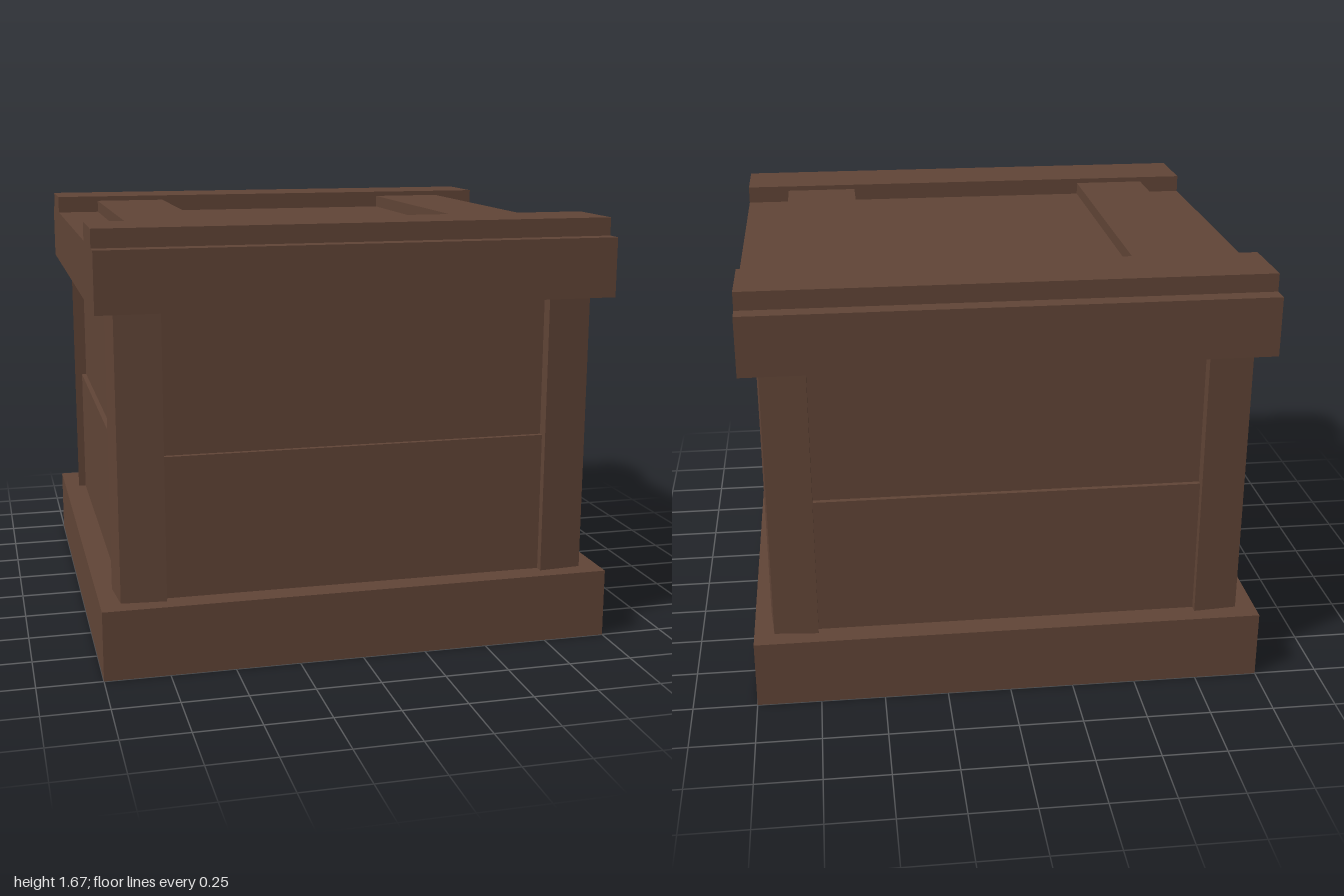
import * as THREE from 'three';

const wood = new THREE.MeshStandardMaterial({ color: 0x604436, flatShading: true });

export function createModel() {
  const crate = new THREE.Group();
  crate.name = 'crate';

  const add = (name, geometry) => {
    const mesh = new THREE.Mesh(geometry, wood);
    mesh.name = name;
    crate.add(mesh);
    return mesh;
  };
  // Box given by its extents along each axis
  const board = (name, [x0, x1], [y0, y1], [z0, z1]) => {
    const mesh = add(name, new THREE.BoxGeometry(x1 - x0, y1 - y0, z1 - z0));
    mesh.position.set((x0 + x1) / 2, (y0 + y1) / 2, (z0 + z1) / 2);
    return mesh;
  };

  // Base plinth and the two courses of wall planks, the upper one set back
  board('base', [-1, 1], [0, 0.27], [-1, 1]);
  board('lowerPlanks', [-0.905, 0.905], [0.27, 0.82], [-0.905, 0.905]);
  board('upperPlanks', [-0.885, 0.885], [0.82, 1.37], [-0.885, 0.885]);

  // Corner posts, whose outer faces lean in slightly towards the corner
  const section = new THREE.Shape([
    [0.75, 0.75], [0.937, 0.75], [0.922, 0.922], [0.75, 0.937],
  ].map(([x, y]) => new THREE.Vector2(x, y)));
  const postGeometry = new THREE.ExtrudeGeometry(section, { depth: 1.1, bevelEnabled: false });
  postGeometry.rotateX(-Math.PI / 2).translate(0, 0.27, 0);
  for (let i = 0; i < 4; i++) {
    add('cornerPost', postGeometry).rotation.y = (i * Math.PI) / 2;
  }

  // Lid slab
  board('lid', [-0.994, 0.994], [1.37, 1.6], [-0.994, 0.994]);

  // Long boards at front and back, cross battens between them
  for (const s of [-1, 1]) {
    const span = (a, b) => (s > 0 ? [a, b] : [-b, -a]);
    board('lidEndBoard', [-0.994, 0.994], [1.6, 1.67], span(0.643, 0.926));
    board('lidBatten', span(0.517, 0.816), [1.6, 1.65], [-0.643, 0.643]);
  }

  return crate;
}
